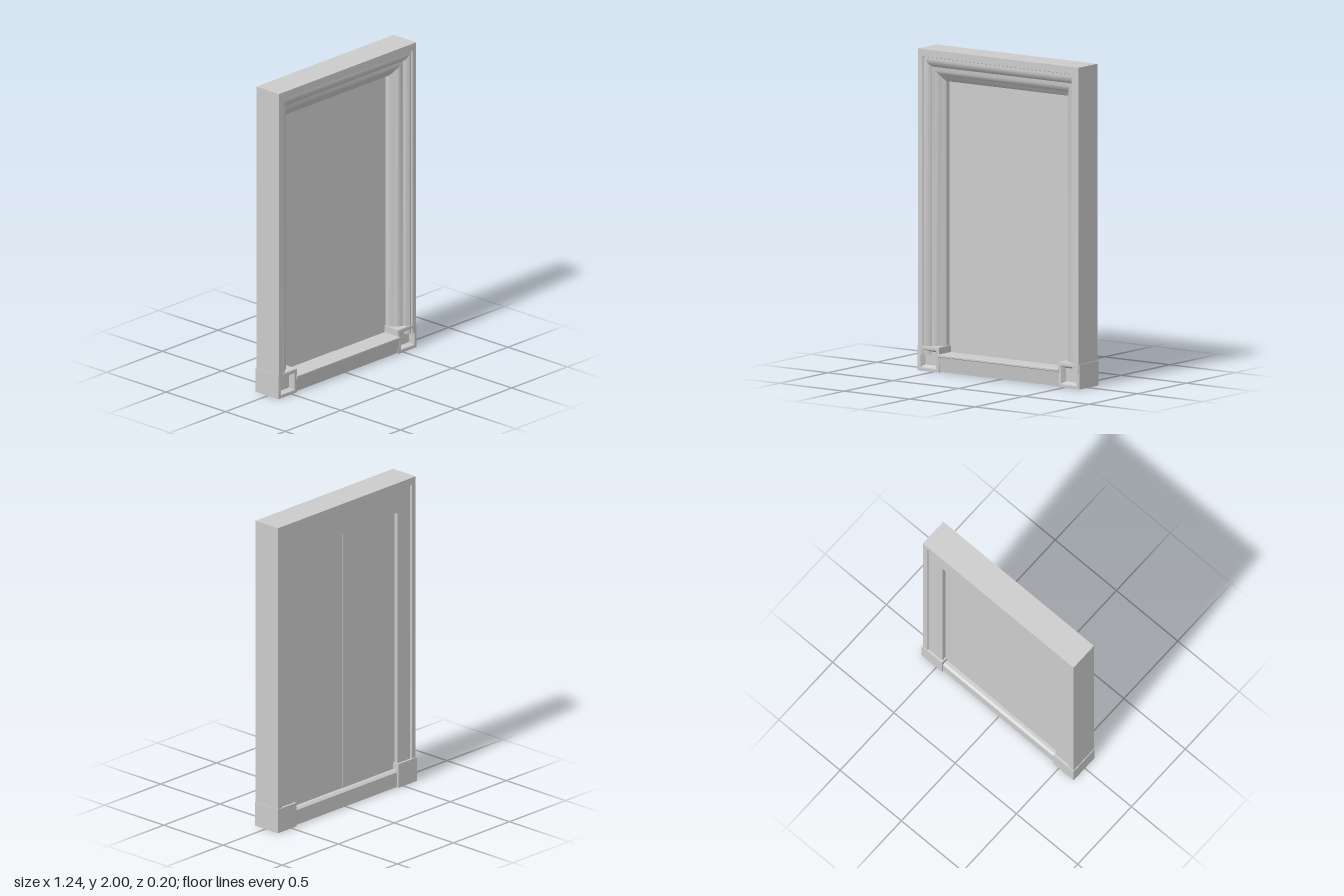
import * as THREE from 'three';
import { toCreasedNormals } from 'three/addons/utils/BufferGeometryUtils.js';

const grey = new THREE.MeshStandardMaterial({ color: 0xcccccc });

function add(group, name, geometry) {
  const mesh = new THREE.Mesh(geometry, grey);
  mesh.name = name;
  group.add(mesh);
  return mesh;
}

// Skin between successive closed cross-sections
function loft(rows) {
  const positions = [];
  for (let i = 0; i < rows.length - 1; i++) {
    const n = rows[i].length;
    for (let j = 0; j < n; j++) {
      const k = (j + 1) % n;
      const a = rows[i][j], b = rows[i][k], c = rows[i + 1][k], d = rows[i + 1][j];
      positions.push(...a, ...b, ...c, ...a, ...c, ...d);
    }
  }
  const geometry = new THREE.BufferGeometry();
  geometry.setAttribute('position', new THREE.Float32BufferAttribute(positions, 3));
  geometry.computeVertexNormals();
  return toCreasedNormals(geometry, 0.6);
}

// Moulded surround: one profile swept up, across and down with mitred corners
function surroundGeometry() {
  // [distance in from the outer edge, z]
  const profile = [
    [0, 0.09], [0.035, 0.09], [0.037, 0.082], [0.05, 0.084], [0.068, 0.074],
    [0.078, 0.062], [0.082, 0.055], [0.1, 0.05], [0.116, 0.04], [0.122, 0.028],
    [0.138, 0.016], [0.15, 0], [0.15, -0.09], [0.04, -0.09], [0.035, -0.1], [0, -0.1],
  ];
  const headScale = 1.333; // the head is deeper than the jambs
  const stations = [[-1, false], [-1, true], [1, true], [1, false]];
  return loft(stations.map(([side, top]) => profile.map(([d, z]) =>
    [side * (0.615 - d), top ? 2 - d * headScale : 0.1, z])));
}

// Plinth block with a sunk square in its front face
function plinthGeometry() {
  // [half width, half height, z]
  const rings = [
    [0, 0, -0.105], [0.0825, 0.0775, -0.105], [0.0825, 0.0775, 0.088], [0.066, 0.062, 0.092],
    [0.06, 0.056, 0.09], [0.044, 0.042, 0.06], [0, 0, 0.06],
  ];
  const corners = [[-1, -1], [1, -1], [1, 1], [-1, 1]];
  return loft(rings.map(([w, h, z]) => corners.map(([x, y]) => [x * w, y * h, z])));
}

// Sill: undercut front, thin nosing, gently sloping top
function sillGeometry() {
  const length = 0.92;
  const shape = new THREE.Shape([
    [-0.095, 0.004], [0.08, 0.004], [0.094, 0.096], [0.1, 0.1], [0.1, 0.11],
    [0.085, 0.113], [-0.08, 0.113], [-0.095, 0.1],
  ].map(([z, y]) => new THREE.Vector2(z, y)));
  return new THREE.ExtrudeGeometry(shape, { depth: length, bevelEnabled: false })
    .rotateY(-Math.PI / 2).translate(length / 2, 0, 0);
}

export function createModel() {
  const model = new THREE.Group();
  model.name = 'framedDoor';

  add(model, 'surround', surroundGeometry());
  add(model, 'sill', sillGeometry());

  for (const side of [1, -1]) {
    const label = side > 0 ? 'left' : 'right';
    add(model, label + 'Plinth', plinthGeometry()).position.set(side * 0.5375, 0.0775, 0);
    // The leaves are set very slightly out of plane, leaving a seam at the centre
    add(model, label + 'Leaf', new THREE.BoxGeometry(0.47, 1.74, 0.03))
      .position.set(side * 0.235, 0.95, -0.045 + side * 0.0015);
  }
  return model;
}
